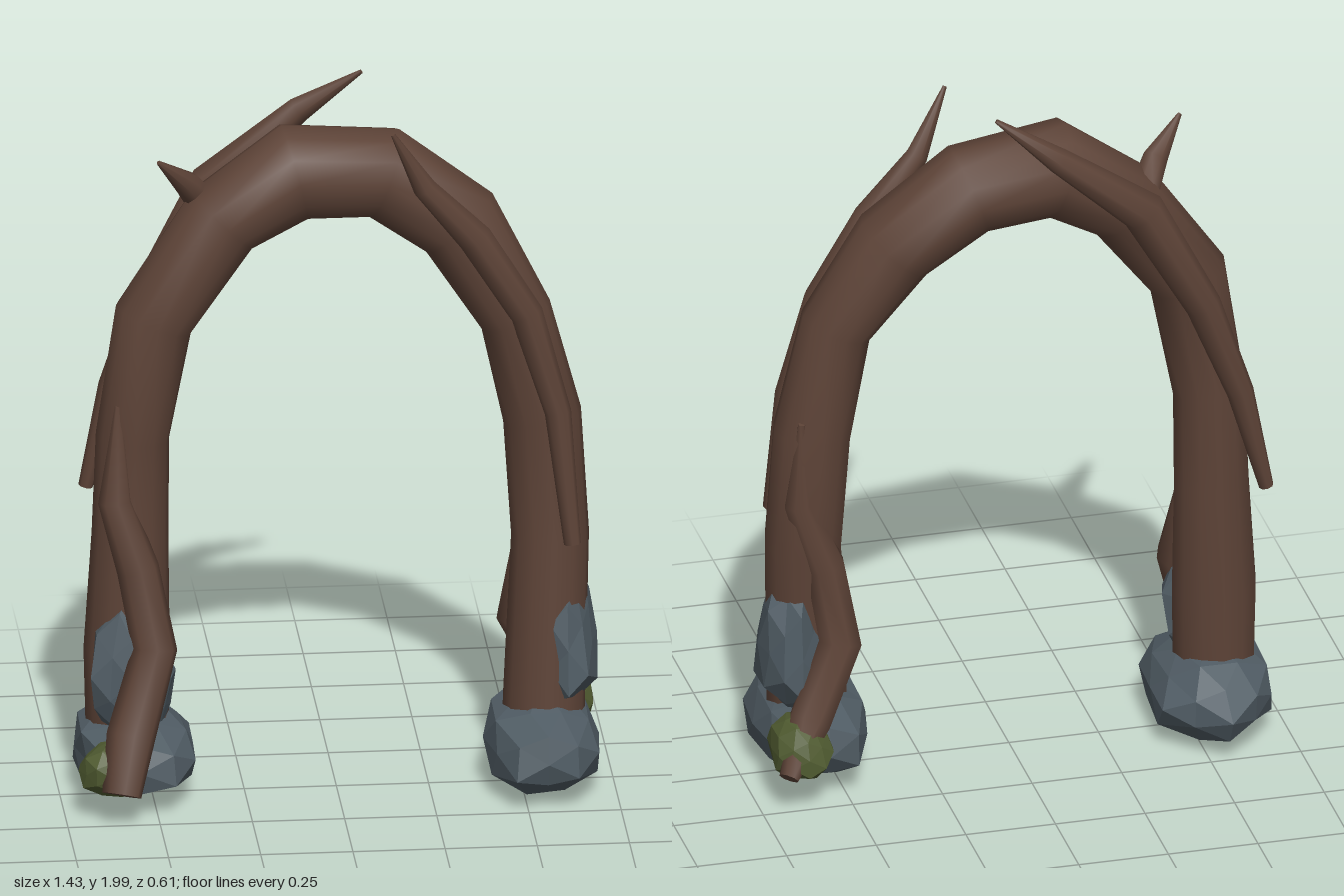
import * as THREE from 'three';
import { mergeVertices } from 'three/addons/utils/BufferGeometryUtils.js';

const material = (name, color, flatShading = false) => {
  const m = new THREE.MeshStandardMaterial({ color, flatShading });
  m.name = name;
  return m;
};

// Tapered limb: rings at each [x, y, z, radius], joined by straight segments
function limb(points, sides) {
  const centres = points.map(p => new THREE.Vector3(p[0], p[1], p[2]));
  const n = centres.length;
  const positions = [], index = [];
  let side = new THREE.Vector3(0, 0, 1);
  centres.forEach((c, i) => {
    const t = new THREE.Vector3().subVectors(centres[Math.min(i + 1, n - 1)], centres[Math.max(i - 1, 0)]).normalize();
    side = side.clone().addScaledVector(t, -side.dot(t)).normalize();
    const other = new THREE.Vector3().crossVectors(t, side);
    for (let j = 0; j < sides; j++) {
      const a = (j / sides) * Math.PI * 2;
      const p = c.clone()
        .addScaledVector(side, Math.cos(a) * points[i][3])
        .addScaledVector(other, Math.sin(a) * points[i][3]);
      positions.push(p.x, p.y, p.z);
    }
  });
  for (let i = 0; i < n - 1; i++) {
    for (let j = 0; j < sides; j++) {
      const a = i * sides + j, b = i * sides + (j + 1) % sides;
      index.push(a, b, a + sides, b, b + sides, a + sides);
    }
  }
  // End caps with their own vertices so the rims stay sharp
  for (const [ring, flip] of [[0, true], [n - 1, false]]) {
    const start = positions.length / 3;
    for (let j = 0; j < sides * 3; j++) positions.push(positions[ring * sides * 3 + j]);
    for (let j = 1; j < sides - 1; j++) {
      if (flip) index.push(start, start + j + 1, start + j);
      else index.push(start, start + j, start + j + 1);
    }
  }
  const g = new THREE.BufferGeometry();
  g.setAttribute('position', new THREE.Float32BufferAttribute(positions, 3));
  g.setIndex(index);
  g.computeVertexNormals();
  return g;
}

// Faceted lump: an icosphere with seeded bumps, narrowed upwards by taper, sized to a box
function lump(min, max, seed, rough, taper) {
  let s = seed;
  const rand = () => (s = (s * 16807) % 2147483647) / 2147483647;
  let g = new THREE.IcosahedronGeometry(1, 1);
  g.deleteAttribute('uv');
  g.deleteAttribute('normal');
  g = mergeVertices(g, 1e-3);
  const p = g.attributes.position;
  for (let i = 0; i < p.count; i++) {
    const k = 1 - rough * rand();
    const w = k * (1 - taper * p.getY(i));
    p.setXYZ(i, p.getX(i) * w, p.getY(i) * k, p.getZ(i) * w);
  }
  g.computeBoundingBox();
  const c = g.boundingBox.getCenter(new THREE.Vector3());
  const d = g.boundingBox.getSize(new THREE.Vector3());
  g.translate(-c.x, -c.y, -c.z);
  g.scale((max[0] - min[0]) / d.x, (max[1] - min[1]) / d.y, (max[2] - min[2]) / d.z);
  g.translate((min[0] + max[0]) / 2, (min[1] + max[1]) / 2, (min[2] + max[2]) / 2);
  g.computeVertexNormals();
  return g;
}

export function createModel() {
  const model = new THREE.Group();
  model.name = 'rootArch';
  const bark = material('bark', 0x5d4337);
  const stone = material('stone', 0x505c64, true);
  const moss = material('moss', 0x4f5a30, true);
  const add = (name, geometry, mat) => {
    const mesh = new THREE.Mesh(geometry, mat);
    mesh.name = name;
    model.add(mesh);
  };

  // Main arch
  add('archTrunk', limb([
    [-0.565, 0.14, -0.02, 0.112], [-0.567, 0.42, -0.02, 0.117], [-0.557, 0.75, -0.03, 0.104],
    [-0.55, 1.03, -0.03, 0.1], [-0.495, 1.37, -0.01, 0.11], [-0.305, 1.635, -0.052, 0.116],
    [-0.11, 1.763, -0.058, 0.136], [0.135, 1.743, -0.082, 0.128], [0.34, 1.595, -0.073, 0.12],
    [0.488, 1.345, -0.02, 0.1], [0.562, 1.045, -0.046, 0.107], [0.582, 0.71, -0.028, 0.106],
    [0.562, 0.25, 0.012, 0.112], [0.56, 0.14, 0.012, 0.112],
  ], 12), bark);

  // Roots twisting out of each foot
  add('frontRoot', limb([
    [-0.605, 0.095, 0.255, 0.054], [-0.575, 0.24, 0.195, 0.067], [-0.503, 0.46, 0.112, 0.062],
    [-0.545, 0.68, 0.077, 0.058], [-0.605, 0.87, 0.055, 0.047], [-0.595, 1.14, 0.045, 0.01],
  ], 8), bark);
  add('backRoot', limb([
    [0.685, 0.12, -0.275, 0.028], [0.605, 0.24, -0.19, 0.06], [0.505, 0.44, -0.13, 0.062],
    [0.54, 0.66, -0.1, 0.057], [0.61, 0.86, -0.1, 0.045], [0.61, 1.11, -0.125, 0.01],
  ], 8), bark);

  // Branches running along the arch
  add('frontBranch', limb([
    [0.14, 1.94, 0.148, 0.006], [0.23, 1.765, 0.1, 0.032], [0.37, 1.605, 0.078, 0.047],
    [0.51, 1.38, 0.073, 0.045], [0.593, 1.1, 0.092, 0.036], [0.628, 0.735, 0.137, 0.023],
  ], 8), bark);
  add('backBranch', limb([
    [0.085, 1.995, -0.192, 0.006], [-0.08, 1.875, -0.235, 0.037], [-0.32, 1.68, -0.21, 0.061],
    [-0.49, 1.37, -0.205, 0.049], [-0.59, 1.1, -0.217, 0.037], [-0.66, 0.81, -0.225, 0.02],
  ], 8), bark);
  add('thorn', limb([
    [-0.36, 1.68, -0.08, 0.042], [-0.4, 1.745, -0.035, 0.036], [-0.485, 1.835, 0.03, 0.006],
  ], 8), bark);

  // Rocks around the feet
  add('leftBaseRock', lump([-0.71, 0.015, -0.3], [-0.385, 0.26, 0.21], 11, 0.2, 0.1), stone);
  add('rightBaseRock', lump([0.395, 0.005, -0.23], [0.71, 0.285, 0.26], 29, 0.2, 0.1), stone);
  add('leftUpperRock', lump([-0.675, 0.17, -0.04], [-0.44, 0.595, 0.145], 47, 0.25, 0.25), stone);
  add('rightUpperRock', lump([0.53, 0.19, -0.18], [0.71, 0.6, 0.13], 83, 0.25, 0.2), stone);

  // Moss clumps on the roots
  add('frontMoss', lump([-0.715, 0.07, 0.09], [-0.545, 0.225, 0.255], 131, 0.15, 0.1), moss);
  add('backMoss', lump([0.545, 0.085, -0.295], [0.712, 0.27, -0.075], 173, 0.15, 0.1), moss);

  return model;
}
